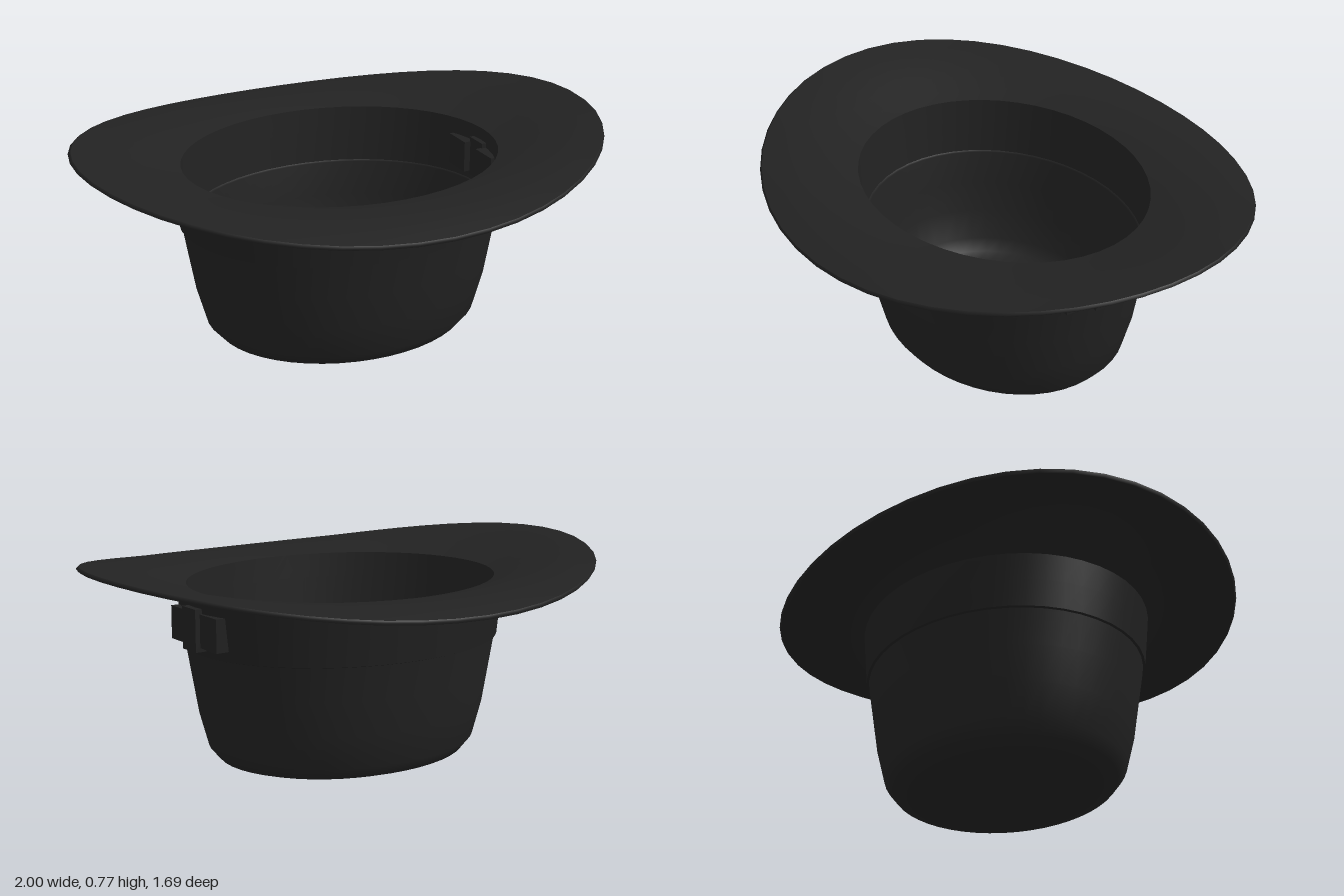
import * as THREE from 'three';

const SEGMENTS = 48;

// Lofts elliptical rings. Each ring is [radiusX, radiusZ, ySides, yFrontAndBack].
function loft(name, rings, material) {
  const positions = [];
  const index = [];
  rings.forEach(([rx, rz, ySide, yFront = ySide], k) => {
    for (let j = 0; j < SEGMENTS; j++) {
      const a = (j / SEGMENTS) * Math.PI * 2;
      const c = Math.cos(a);
      const s = Math.sin(a);
      positions.push(rx * c, ySide * c * c + yFront * s * s, rz * s);
      if (k === 0) continue;
      const n = (j + 1) % SEGMENTS;
      const low = (k - 1) * SEGMENTS;
      const high = k * SEGMENTS;
      index.push(low + j, high + j, low + n, high + j, high + n, low + n);
    }
  });
  const geometry = new THREE.BufferGeometry();
  geometry.setAttribute('position', new THREE.Float32BufferAttribute(positions, 3));
  geometry.setIndex(index);
  geometry.computeVertexNormals();
  const mesh = new THREE.Mesh(geometry, material);
  mesh.name = name;
  return mesh;
}

// Box given by its x range, y range and z range.
function block(name, [x0, x1], [y0, y1], [z0, z1], material) {
  const mesh = new THREE.Mesh(new THREE.BoxGeometry(x1 - x0, y1 - y0, z1 - z0), material);
  mesh.position.set((x0 + x1) / 2, (y0 + y1) / 2, (z0 + z1) / 2);
  mesh.name = name;
  return mesh;
}

export function createModel() {
  const felt = new THREE.MeshStandardMaterial({ color: 0x222222 });
  felt.name = 'dark felt';
  const ribbon = new THREE.MeshStandardMaterial({ color: 0x202020 });
  ribbon.name = 'dark ribbon';

  const hat = new THREE.Group();
  hat.name = 'upturnedHat';

  // Crown, resting on its flat top
  hat.add(loft('crown', [
    [0, 0, 0], [0.36, 0.29, 0], [0.43, 0.345, 0.003], [0.487, 0.4, 0.022],
    [0.525, 0.432, 0.065], [0.56, 0.462, 0.19], [0.583, 0.481, 0.32], [0.607, 0.502, 0.46],
  ], felt));

  // Ribbon band, slightly proud of the crown
  hat.add(loft('bandEdge', [[0.6, 0.495, 0.447], [0.614, 0.509, 0.452]], ribbon));
  hat.add(loft('band', [[0.614, 0.509, 0.452], [0.625, 0.517, 0.55], [0.635, 0.525, 0.655]], ribbon));

  // Brim: sides curl up, front and back dip
  hat.add(loft('brimUnderside', [
    [0.63, 0.522, 0.643, 0.643], [0.65, 0.545, 0.661, 0.662], [0.74, 0.61, 0.692, 0.673],
    [0.84, 0.71, 0.723, 0.676], [0.92, 0.775, 0.74, 0.667], [0.99, 0.838, 0.754, 0.65],
  ], felt));
  hat.add(loft('brimEdge', [[0.99, 0.838, 0.754, 0.65], [1, 0.843, 0.763, 0.658], [0.99, 0.838, 0.77, 0.666]], felt));
  hat.add(loft('brimTop', [
    [0.99, 0.838, 0.77, 0.666], [0.92, 0.775, 0.757, 0.683], [0.84, 0.71, 0.742, 0.694],
    [0.74, 0.61, 0.713, 0.693], [0.66, 0.55, 0.689, 0.685], [0.6, 0.5, 0.673, 0.673],
  ], felt));

  // Hollow inside of the crown
  hat.add(loft('innerBand', [[0.6, 0.5, 0.673], [0.594, 0.494, 0.58], [0.584, 0.485, 0.455]], felt));
  hat.add(loft('innerCrown', [
    [0.584, 0.485, 0.455], [0.577, 0.478, 0.45], [0.558, 0.462, 0.32], [0.54, 0.445, 0.2],
    [0.505, 0.415, 0.085], [0.47, 0.385, 0.042], [0.42, 0.34, 0.023], [0.35, 0.28, 0.02], [0, 0, 0.02],
  ], felt));

  // Bow on the side of the band
  const bow = new THREE.Group();
  bow.name = 'bow';
  for (const side of [-1, 1]) {
    const z = [0.04 * side, 0.155 * side].sort((a, b) => a - b);
    bow.add(block('bowWing', [0.55, 0.637], [0.49, 0.61], z, ribbon));
  }
  bow.add(block('bowKnot', [0.575, 0.655], [0.475, 0.628], [-0.045, 0.045], ribbon));
  hat.add(bow);

  return hat;
}
